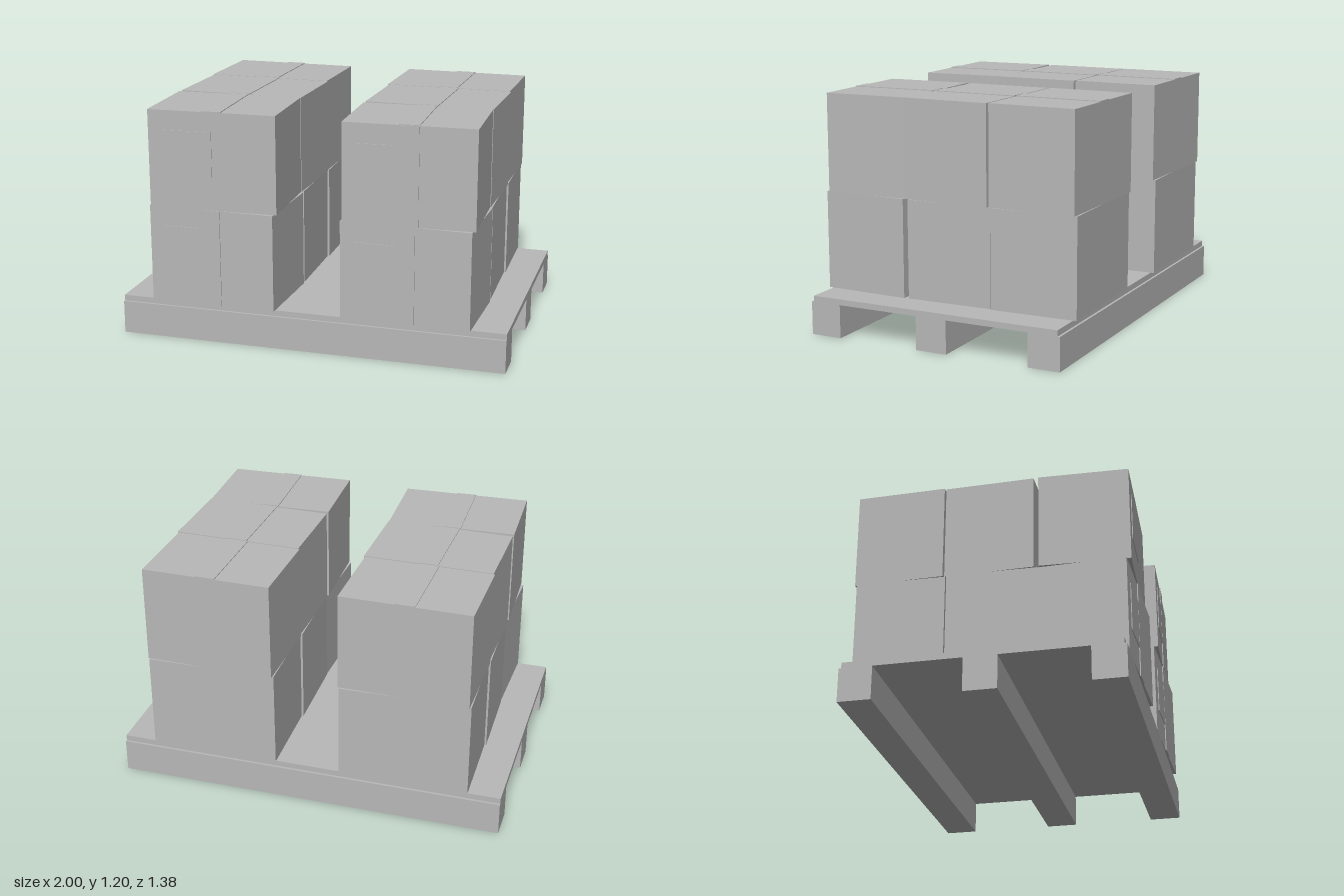
import * as THREE from 'three';

export function createModel() {
  const grey = new THREE.MeshStandardMaterial({ color: 0xb8b8b8 });
  grey.name = 'plain grey';
  const root = new THREE.Group();
  root.name = 'loadedPallet';

  // Adds a box centred at x, y, z
  function block(parent, name, w, h, d, x, y, z) {
    const mesh = new THREE.Mesh(new THREE.BoxGeometry(w, h, d), grey);
    mesh.name = name;
    mesh.position.set(x, y, z);
    parent.add(mesh);
    return mesh;
  }

  // Pallet: three full-width runners under a thin deck
  const pallet = new THREE.Group();
  pallet.name = 'pallet';
  root.add(pallet);
  for (const z of [-0.6, 0, 0.6]) block(pallet, 'runner', 2, 0.17, 0.165, 0, 0.085, z);
  block(pallet, 'deck', 2, 0.03, 1.34, 0, 0.185, 0);

  // Cartons: two stacks, two layers, three deep, each turned slightly
  const W = 0.66, H = 0.5, D = 0.45;
  const turns = [-0.018, -0.02, 0.033]; // back, middle, front
  for (const sx of [-1, 1]) {
    for (let layer = 0; layer < 2; layer++) {
      turns.forEach((turn, row) => {
        const carton = new THREE.Group();
        carton.name = 'carton';
        carton.position.set(sx * 0.5, 0.2 + layer * H, (row - 1) * 0.457);
        carton.rotation.y = layer ? turn : -turn;
        root.add(carton);
        block(carton, 'cartonBody', W, H, D, 0, H / 2, 0);
        // Sealing tape along the top of the upper cartons
        if (layer) block(carton, 'topTape', 0.1, 0.004, D, 0, H + 0.002, 0);
        // Label and tape on the front cartons
        if (row === 2) {
          block(carton, 'label', 0.25, 0.25, 0.004, -0.125, 0.275, D / 2 + 0.002);
          if (!(layer && sx < 0)) block(carton, 'frontTape', 0.1, H, 0.005, 0, H / 2, D / 2 + 0.0025);
        }
      });
    }
  }
  return root;
}
